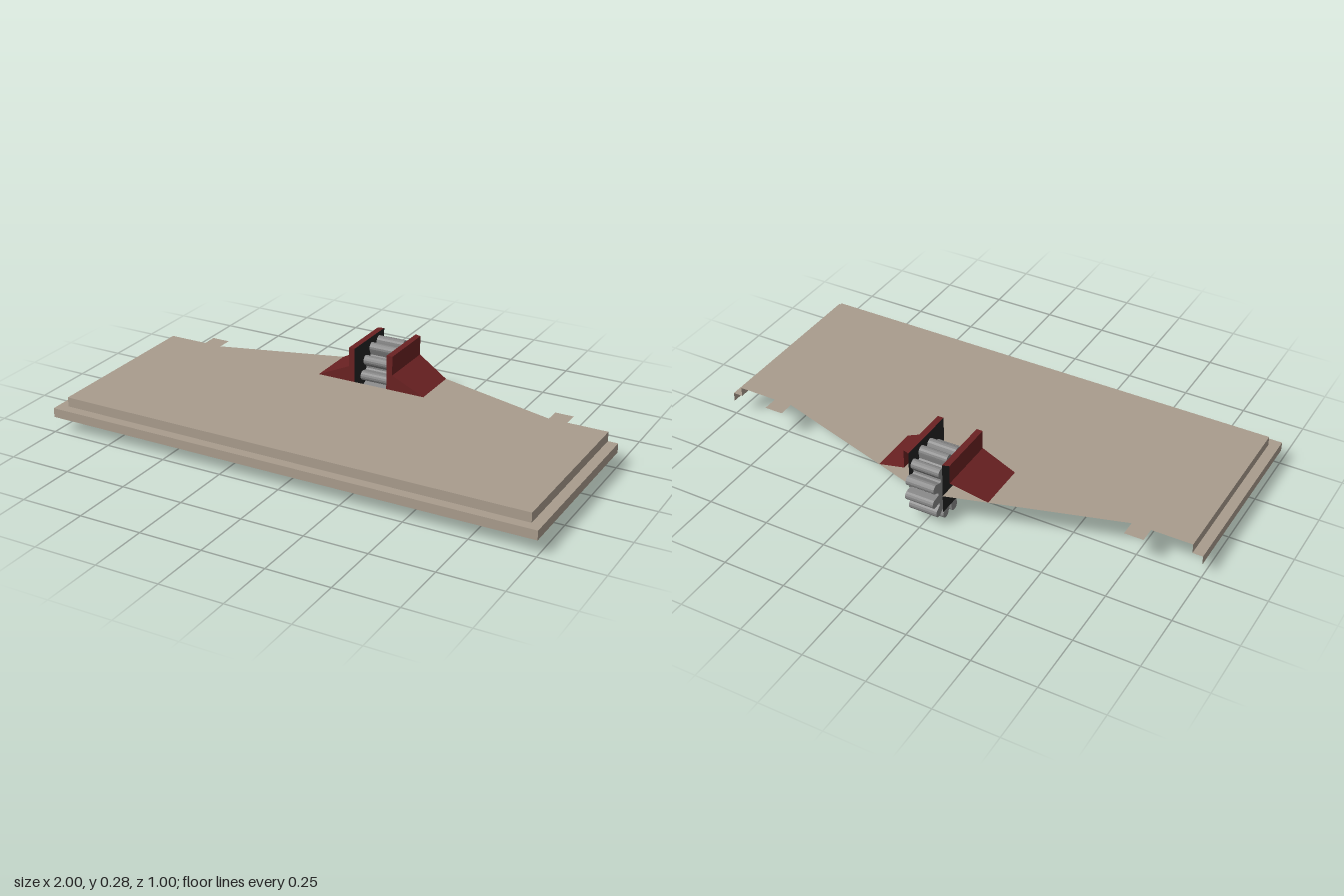
import * as THREE from 'three';

const mat = (name, color, double = true) => {
  const m = new THREE.MeshStandardMaterial({ color });
  m.name = name;
  if (double) m.side = THREE.DoubleSide;
  return m;
};

// Flat-faced sheet from a list of convex polygons
function sheet(polygons) {
  const pos = [];
  for (const p of polygons)
    for (let i = 1; i < p.length - 1; i++) pos.push(...p[0], ...p[i], ...p[i + 1]);
  const g = new THREE.BufferGeometry();
  g.setAttribute('position', new THREE.Float32BufferAttribute(pos, 3));
  g.computeVertexNormals();
  return g;
}

export function createModel() {
  const model = new THREE.Group();
  const tan = mat('tan panel', 0xa99c8d);
  const red = mat('dark red', 0x6a2122);
  const black = mat('near black', 0x222222);
  const grey = mat('gear grey', 0x868686, false);
  const add = (name, geometry, material) => {
    const m = new THREE.Mesh(geometry, material);
    m.name = name;
    model.add(m);
    return m;
  };

  const TOP = 0.138, BASE = 0.063, BACK = -0.253, SLOT = -0.2;
  const PEAK = -0.448, INNER = 0.07;

  // Top panel: tapered back with two tabs and a slot for the gear
  const half = [[INNER, SLOT], [INNER, PEAK], [0.725, BACK], [0.725, -0.315],
    [0.80, -0.315], [0.80, BACK], [0.96, BACK], [0.96, 0.458]];
  const outline = [...half, ...half.map(([x, z]) => [-x, z]).reverse()];
  const panel = new THREE.ShapeGeometry(
    new THREE.Shape(outline.map(([x, z]) => new THREE.Vector2(x, -z))));
  panel.rotateX(-Math.PI / 2).translate(0, TOP, 0);
  add('topPanel', panel, tan);

  // Stepped rim around the front and sides, open at the back
  const rings = [[0.96, 0.458, TOP], [0.96, 0.458, 0.1], [1, 0.498, 0.1], [1, 0.498, BASE]]
    .map(([w, f, y]) => [[-w, y, BACK], [-w, y, f], [w, y, f], [w, y, BACK]]);
  const faces = [];
  for (let r = 0; r < 3; r++)
    for (let i = 0; i < 3; i++)
      faces.push([rings[r][i], rings[r + 1][i], rings[r + 1][i + 1], rings[r][i + 1]]);
  add('steppedRim', sheet(faces), tan);

  // Gear brackets: hollow red cover over a black bearing plate
  const H = 0.278, MID = 0.2, WALL = 0.095, FOOT = 0.23;
  const wallBack = -0.44, footBack = -0.4;
  for (const s of [1, -1]) {
    const p = (x, y, z) => [s * x, y, z];
    add(s > 0 ? 'leftBracketCover' : 'rightBracketCover', sheet([
      [p(INNER, H, SLOT), p(WALL, H, SLOT), p(WALL, H, wallBack), p(INNER, H, PEAK)],
      [p(WALL, H, SLOT), p(WALL, MID, SLOT), p(WALL, MID, wallBack), p(WALL, H, wallBack)],
      [p(WALL, MID, SLOT), p(FOOT, TOP, SLOT), p(FOOT, TOP, footBack), p(WALL, MID, wallBack)],
      [p(INNER, TOP, SLOT), p(FOOT, TOP, SLOT), p(WALL, MID, SLOT), p(INNER, MID, SLOT)],
      [p(INNER, MID, SLOT), p(WALL, MID, SLOT), p(WALL, H, SLOT), p(INNER, H, SLOT)],
    ]), red);
    add(s > 0 ? 'leftBearingPlate' : 'rightBearingPlate', sheet([
      [p(INNER, BASE, SLOT), p(INNER, BASE, PEAK), p(INNER, H, PEAK), p(INNER, H, SLOT)],
    ]), black);
  }

  // Twelve-tooth gear with rounded tips
  const CY = 0.137, CZ = -0.363, deg = Math.PI / 180;
  const pts = [];
  const polar = (r, a) => new THREE.Vector2(r * Math.cos(a), r * Math.sin(a));
  for (let k = 0; k < 12; k++) {
    const a = (-8 + 30 * k) * deg;
    const tip = polar(0.118, a);
    for (let j = -4; j <= 4; j++) pts.push(polar(0.019, a + j * 25 * deg).add(tip));
    pts.push(polar(0.096, a + 11 * deg), polar(0.093, a + 15 * deg), polar(0.096, a + 19 * deg));
  }
  const gear = new THREE.ExtrudeGeometry(new THREE.Shape(pts), { depth: 0.116, bevelEnabled: false });
  gear.translate(0, 0, -0.058).rotateY(Math.PI / 2).translate(0, CY, CZ);
  add('gear', gear, grey);

  // Axle between the bearing plates
  const axle = new THREE.CylinderGeometry(0.05, 0.05, INNER * 2, 24);
  axle.rotateZ(Math.PI / 2).translate(0, CY, CZ);
  add('axle', axle, black);

  return model;
}
